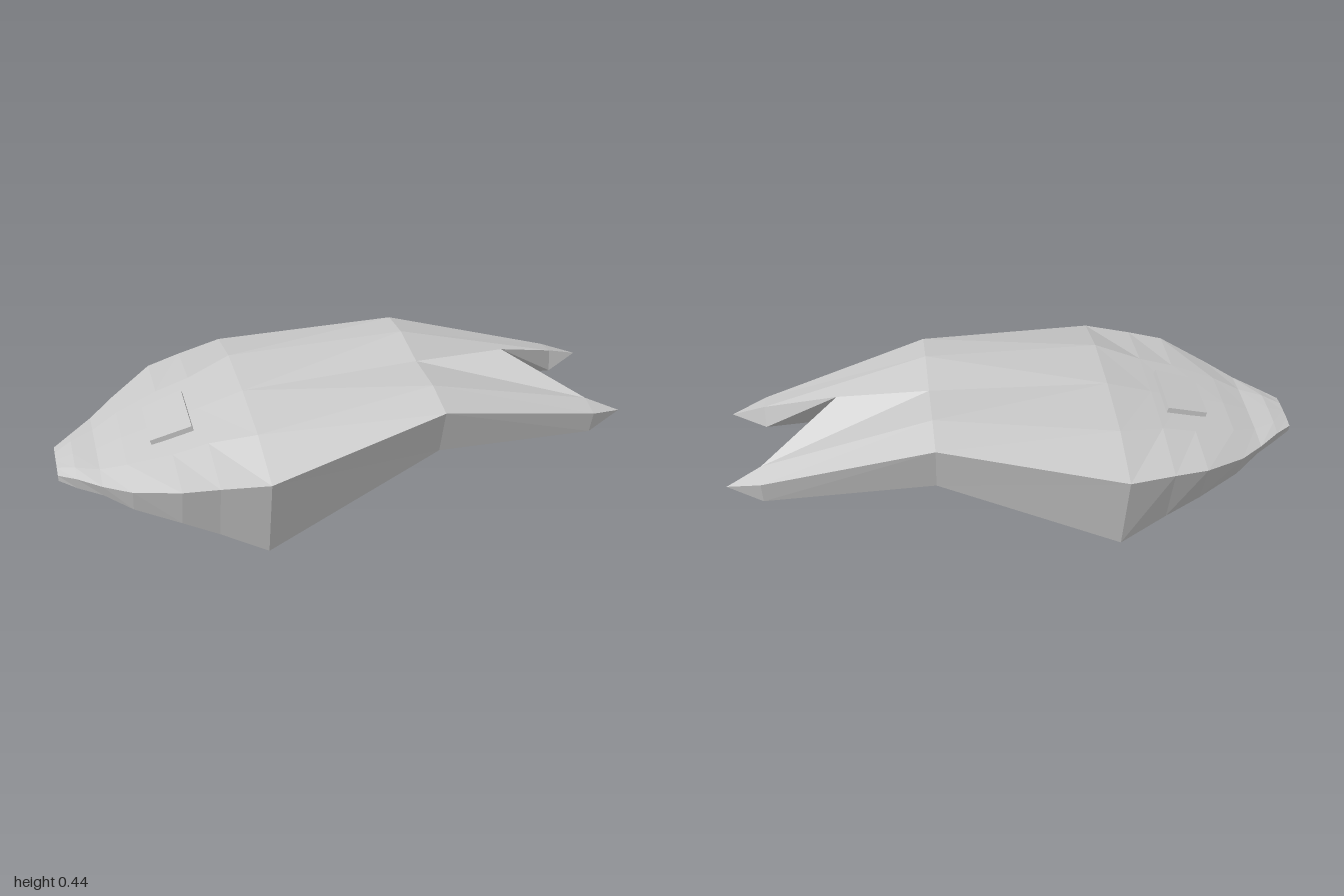
import * as THREE from 'three';

const material = new THREE.MeshStandardMaterial({ color: 0xcccccc, flatShading: true });

// Half cross-sections along x, each as [y, z]:
// crown, shoulder, rim, chine, inner keel, keel
const sections = [
  [-1.00, [0.235, 0], [0.235, 0.045], [0.23, 0.085], [0.205, 0.08], [0.205, 0.04], [0.205, 0]],
  [-0.94, [0.252, 0], [0.25, 0.08], [0.24, 0.135], [0.187, 0.115], [0.187, 0.06], [0.187, 0]],
  [-0.86, [0.257, 0], [0.256, 0.12], [0.247, 0.21], [0.19, 0.18], [0.19, 0.1], [0.19, 0]],
  [-0.77, [0.29, 0], [0.287, 0.16], [0.268, 0.295], [0.165, 0.25], [0.16, 0.14], [0.16, 0]],
  [-0.62, [0.33, 0], [0.328, 0.2], [0.315, 0.4], [0.137, 0.33], [0.1, 0.18], [0.09, 0]],
  [-0.50, [0.365, 0], [0.36, 0.21], [0.33, 0.433], [0.085, 0.355], [0.067, 0.2], [0.08, 0]],
  [-0.34, [0.412, 0], [0.4, 0.26], [0.345, 0.475], [0.003, 0.385], [0.025, 0.215], [0.07, 0]],
  [0.29, [0.432, 0], [0.447, 0.19], [0.425, 0.335], [0.24, 0.285], [0.285, 0.09], [0.305, 0]],
].map(([x, ...points]) => points.map(([y, z]) => [x, y, z]));

// The last section splits around the tail notch
const notch = [0.61, 0.432, 0];
const tip = [1, 0.235, 0.205];
const fork = [notch, [0.88, 0.285, 0.17], [0.88, 0.268, 0.25], [0.88, 0.18, 0.23], [0.88, 0.205, 0.155], notch];
sections.push(fork);

function createHull() {
  const positions = [];
  // Adds a triangle and its mirror image across z = 0
  const tri = (a, b, c) => {
    positions.push(...a, ...b, ...c);
    for (const [x, y, z] of [a, c, b]) positions.push(x, y, -z);
  };

  // Skin between neighbouring sections
  for (let i = 0; i < sections.length - 1; i++) {
    const s = sections[i], t = sections[i + 1];
    for (let j = 0; j < 5; j++) {
      tri(s[j], s[j + 1], t[j + 1]);
      if (t[j] !== notch || j === 0) tri(s[j], t[j + 1], t[j]);
    }
  }

  // Blunt nose
  const nose = sections[0];
  for (let j = 1; j < 5; j++) tri(nose[0], nose[j + 1], nose[j]);

  // Notch walls and pointed prongs
  tri(notch, fork[1], fork[4]);
  for (let j = 1; j < 5; j++) tri(fork[j], fork[j % 4 + 1], tip);

  const geometry = new THREE.BufferGeometry();
  geometry.setAttribute('position', new THREE.Float32BufferAttribute(positions, 3));
  geometry.computeVertexNormals();
  return geometry;
}

export function createModel() {
  const group = new THREE.Group();

  const hull = new THREE.Mesh(createHull(), material);
  hull.name = 'hull';
  group.add(hull);

  // Tilted hatch plate, slightly wider toward the tail
  const plate = new THREE.BoxGeometry(0.15, 0.02, 0.22);
  const p = plate.attributes.position;
  for (let i = 0; i < p.count; i++) p.setZ(i, p.getZ(i) * (p.getX(i) > 0 ? 1.06 : 0.95));
  plate.computeVertexNormals();
  const hatch = new THREE.Mesh(plate, material);
  hatch.name = 'hatch';
  hatch.position.set(-0.608, 0.343, 0);
  hatch.rotation.z = 0.29;
  group.add(hatch);

  return group;
}
